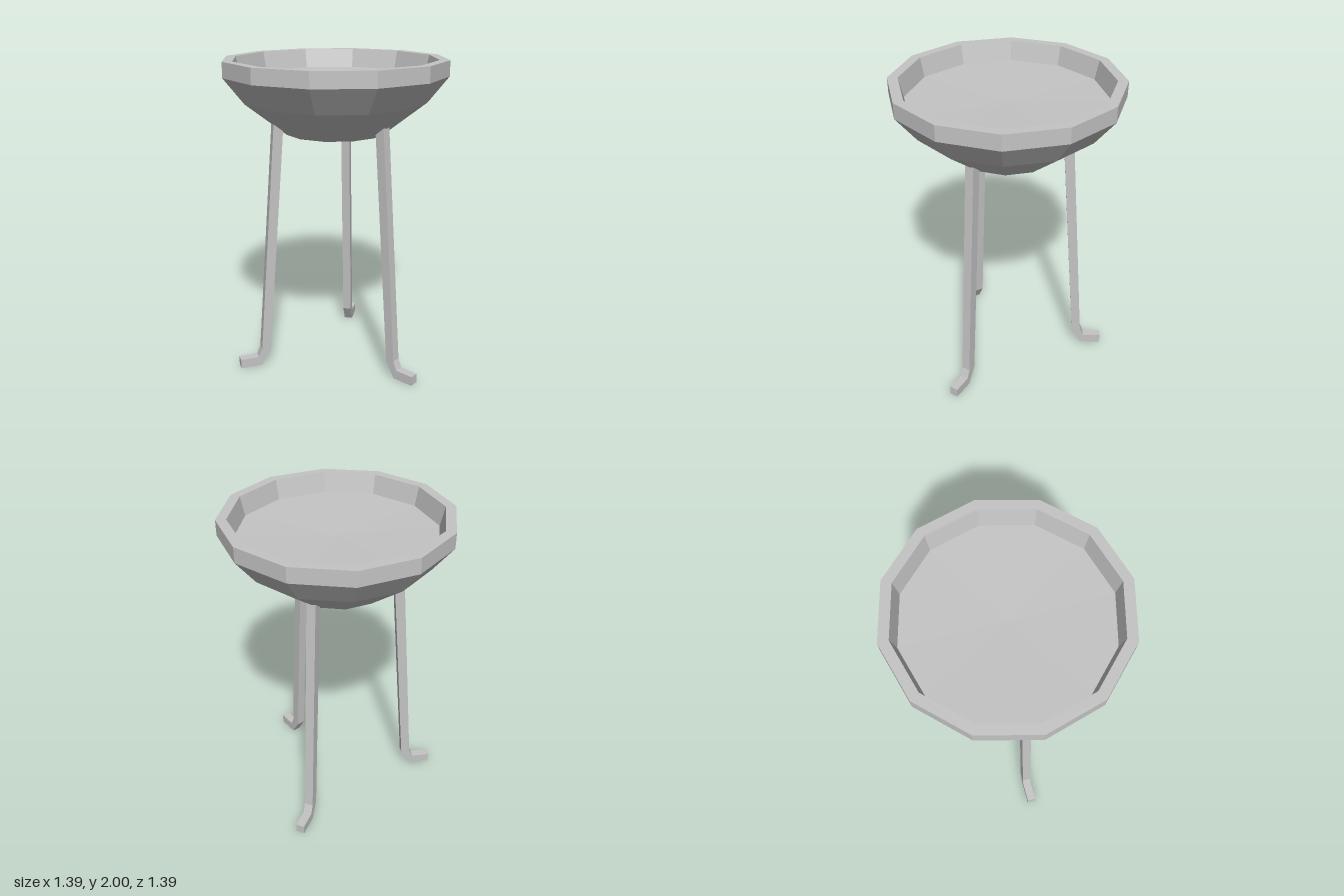
import * as THREE from 'three';

export function createModel() {
  const model = new THREE.Group();
  const grey = new THREE.MeshStandardMaterial({ color: 0xc4c4c4, flatShading: true });
  grey.name = 'plain grey';

  // Twelve-sided bowl: underside, rim, inner wall and slightly dished floor
  const profile = [
    [0, 1.545], [0.315, 1.545], [0.572, 1.746], [0.697, 1.905],
    [0.697, 2], [0.635, 2], [0.608, 1.88], [0, 1.86],
  ].map(([r, y]) => new THREE.Vector2(r, y));
  const bowl = new THREE.Mesh(new THREE.LatheGeometry(profile, 12), grey);
  bowl.name = 'bowl';
  model.add(bowl);

  // Splayed leg with an outward-turned foot, drawn in side profile
  const width = 0.056;
  const outline = new THREE.Shape([
    [0.34, 1.64], [0.463, 0.106], [0.526, 0], [0.666, 0], [0.666, 0.062],
    [0.545, 0.062], [0.521, 0.12], [0.402, 1.64],
  ].map(([x, y]) => new THREE.Vector2(x, y)));
  const legGeometry = new THREE.ExtrudeGeometry(outline, { depth: width, bevelEnabled: false });
  legGeometry.translate(0, 0, -width / 2);

  // Three legs evenly spaced around the bowl
  ['leftLeg', 'backLeg', 'frontLeg'].forEach((name, i) => {
    const leg = new THREE.Mesh(legGeometry, grey);
    leg.name = name;
    leg.rotation.y = (i * Math.PI * 2) / 3;
    model.add(leg);
  });

  return model;
}
